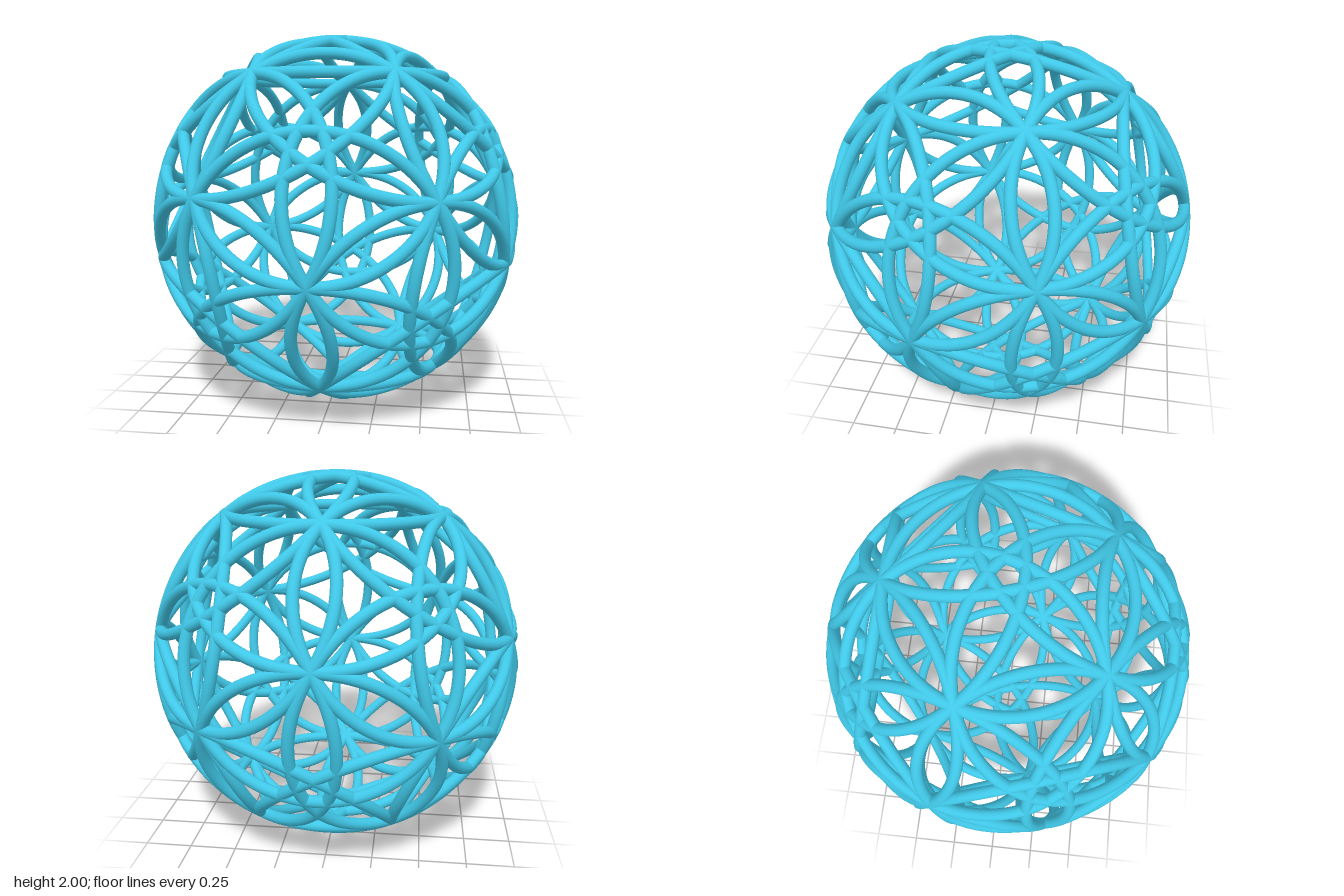
import * as THREE from 'three';

const SPHERE = 0.973; // radius of the sphere the ring centrelines lie on
const TUBE = 0.03;

// Five directions at one polar angle, then their opposites
function directions(polar, azimuth) {
  const list = [];
  for (const sign of [1, -1]) {
    for (let i = 0; i < 5; i++) {
      const v = new THREE.Vector3().setFromSphericalCoords(1, polar, azimuth + (i * Math.PI * 2) / 5);
      list.push(v.multiplyScalar(sign));
    }
  }
  return list;
}

// Ring geometry at a given angle away from its +z axis
function ringGeometry(angle) {
  const g = new THREE.TorusGeometry(SPHERE * Math.sin(angle), TUBE, 14, 112);
  return g.translate(0, 0, SPHERE * Math.cos(angle));
}

export function createModel() {
  const model = new THREE.Group();
  model.name = 'flowerSphere';
  const material = new THREE.MeshStandardMaterial({ color: 0x40c8e8 });

  // Dodecahedron directions, one face pointing up
  const inner = Math.acos(Math.sqrt((5 + 2 * Math.sqrt(5)) / 15)); // face centre to corner
  const edge = Math.acos(Math.sqrt(5) / 3); // corner to corner
  const faces = [
    new THREE.Vector3(0, 1, 0),
    new THREE.Vector3(0, -1, 0),
    ...directions(Math.atan(2), 0),
  ];
  const corners = [...directions(inner, Math.PI), ...directions(inner + edge, Math.PI)];

  function addRings(name, axes, angle) {
    const group = new THREE.Group();
    group.name = name + 's';
    const geometry = ringGeometry(angle);
    const zAxis = new THREE.Vector3(0, 0, 1);
    for (const axis of axes) {
      const ring = new THREE.Mesh(geometry, material);
      ring.name = name;
      ring.quaternion.setFromUnitVectors(zAxis, axis);
      group.add(ring);
    }
    group.position.y = 1;
    model.add(group);
  }

  // Rings through the five corners of every face
  addRings('faceRing', faces, inner);
  // Rings around every corner, through its three neighbours
  addRings('cornerRing', corners, edge);

  return model;
}
